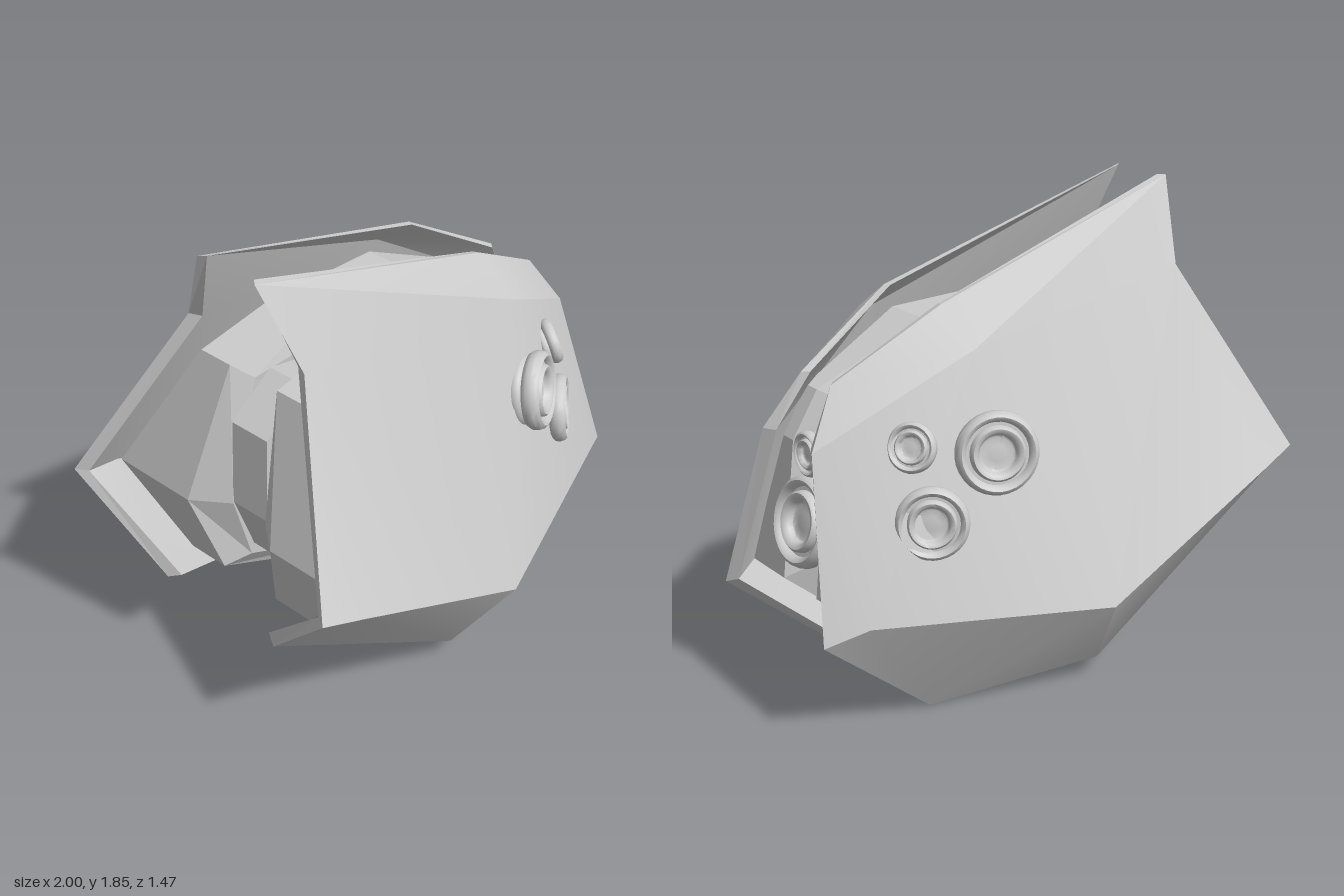
import * as THREE from 'three';
import { mergeGeometries, mergeVertices, toCreasedNormals } from 'three/addons/utils/BufferGeometryUtils.js';

const material = new THREE.MeshStandardMaterial({ color: 0xcccccc });

function addMesh(parent, name, geometry) {
  const mesh = new THREE.Mesh(geometry, material);
  mesh.name = name;
  parent.add(mesh);
  return mesh;
}

// Triangles given for the +z half; side -1 mirrors them and keeps them facing outward
function fromTriangles(triangles, side) {
  const positions = [];
  for (const [a, b, c] of triangles) {
    for (const p of side > 0 ? [a, b, c] : [a, c, b]) positions.push(p[0], p[1], p[2] * side);
  }
  const g = new THREE.BufferGeometry();
  g.setAttribute('position', new THREE.Float32BufferAttribute(positions, 3));
  g.computeVertexNormals();
  return g;
}

// Smooth within one patch
function smooth(g) {
  g.deleteAttribute('normal');
  const merged = mergeVertices(g);
  merged.computeVertexNormals();
  return merged.toNonIndexed();
}

// Corners of one armour shell
const corners = {
  A: [-0.76, 1.85, 0.14], B: [-0.69, 1.53, 0.29], C: [-1, 0.82, 0.66],
  D: [-0.83, 0.77, 0.695], E: [-0.03, 0.42, 0.735], F: [0.85, 0.47, 0.43],
  G: [1, 0.41, 0.355], H: [0.91, 1.07, 0.17], I: [0.34, 1.40, 0.37],
  J: [0.36, 1.52, 0.18], K: [0.78, 1.28, 0.10],
  L: [-0.89, 0.43, 0.29], M: [-0.14, 0.09, 0.51], N: [0.51, 0, 0.30],
};
// Smooth patches: side, top, rear underside, front underside
const patches = [
  'ABI BCD BDE BEI IEF IFH HFG', 'AIJ IHK IKJ', 'CLD DLM DME', 'EMN ENF FNG',
].map((patch) => patch.split(' '));
const rim = 'ABCLMNGHKJ';

// Thin shell: outer skin, inner skin and the rim between them
function shellGeometry(side) {
  const outer = (k) => corners[k];
  const inner = (k) => {
    const [x, y, z] = corners[k];
    return [x * 0.97, y < 0.6 ? y + 0.02 : y, z - ('AJK'.includes(k) ? 0.025 : 0.05)];
  };
  const parts = [];
  for (const patch of patches) {
    parts.push(smooth(fromTriangles(patch.map(([a, b, c]) => [outer(a), outer(b), outer(c)]), side)));
    parts.push(smooth(fromTriangles(patch.map(([a, b, c]) => [inner(a), inner(c), inner(b)]), side)));
  }
  const edge = [];
  for (let i = 0; i < rim.length; i++) {
    const p = rim[i], q = rim[(i + 1) % rim.length];
    edge.push([outer(q), outer(p), inner(p)], [outer(q), inner(p), inner(q)]);
  }
  parts.push(fromTriangles(edge, side));
  return mergeGeometries(parts);
}

// Slab filling a shell: [x, y, chamfer z, outer z], clockwise from the upper rear
const slabProfile = [
  [-0.66, 1.37, 0.12, 0.27], [-0.3, 1.4, 0.095, 0.3], [0.25, 1.39, 0.09, 0.29],
  [0.72, 1.2, 0.095, 0.17], [0.82, 1.02, 0.11, 0.19], [0.88, 0.48, 0.115, 0.34],
  [0.48, 0.14, 0.115, 0.34], [-0.1, 0.19, 0.115, 0.47], [-0.73, 0.47, 0.14, 0.32],
  [-0.82, 0.8, 0.22, 0.6],
];

// Three cross-sections with an inner cap, flat shaded
function slabGeometry(side) {
  const rings = [
    slabProfile.map(([x, y, z]) => [x * 0.87, 0.75 + (y - 0.75) * 0.87, Math.min(z - 0.025, 0.085)]),
    slabProfile.map(([x, y, z]) => [x, y, z]),
    slabProfile.map(([x, y, , z]) => [x, y, z]),
  ];
  const triangles = [];
  const n = slabProfile.length;
  for (let i = 0; i < n; i++) {
    const j = (i + 1) % n;
    triangles.push([[0, 0.77, 0.085], rings[0][i], rings[0][j]]);
    for (let k = 0; k < 2; k++) {
      const a = rings[k][i], b = rings[k][j], c = rings[k + 1][j], d = rings[k + 1][i];
      triangles.push([a, d, c], [a, c, b]);
    }
  }
  return fromTriangles(triangles, side);
}

// Central core between the slabs
const coreProfile = [
  [-0.69, 1.15], [-0.5, 1.3], [0.28, 1.16], [0.74, 0.8], [0.76, 0.53],
  [0.45, 0.25], [-0.1, 0.3], [-0.62, 0.55], [-0.71, 0.8],
];
const coreShape = new THREE.Shape(coreProfile.map(([x, y]) => new THREE.Vector2(x, y)));

// Ringed nozzle on a barrel, turned on its axis; all sizes relative to its radius
function addNozzle(parent, name, position, axis, radius, length) {
  const profile = [
    [0.4, -length], [0.58, -length + 0.1], [0.72, -0.7], [0.84, -0.66], [0.9, -0.56], [0.88, -0.42],
    [0.82, -0.36], [0.93, -0.32], [1, -0.2], [1, -0.06], [0.96, 0.06], [0.88, 0.12], [0.8, 0.08],
    [0.75, -0.05], [0.67, -0.05], [0.65, 0.08], [0.6, 0.13], [0.52, 0.11], [0.46, 0.02],
    [0.43, -0.08], [0.38, -0.1], [0.2, -0.08], [0, -0.07],
  ].map(([r, y]) => new THREE.Vector2(r * radius, y * radius));
  const mesh = addMesh(parent, name, toCreasedNormals(new THREE.LatheGeometry(profile, 32), 0.9));
  mesh.position.set(...position);
  mesh.quaternion.setFromUnitVectors(new THREE.Vector3(0, 1, 0), new THREE.Vector3(...axis).normalize());
}

export function createModel() {
  const group = new THREE.Group();
  group.name = 'armouredPod';

  for (const side of [1, -1]) {
    const half = new THREE.Group();
    half.name = side > 0 ? 'frontHalf' : 'backHalf';
    group.add(half);
    addMesh(half, 'shell', shellGeometry(side));
    addMesh(half, 'innerSlab', slabGeometry(side));
    // Cluster of three nozzles on the shell
    addNozzle(half, 'largeNozzle', [0.355, 1.05, side * 0.52], [0.42, 0.16, side * 0.9], 0.153, 1);
    addNozzle(half, 'mediumNozzle', [0.595, 0.815, side * 0.45], [0.56, 0.1, side * 0.82], 0.136, 1.1);
    addNozzle(half, 'smallNozzle', [0.62, 1.085, side * 0.36], [0.78, 0.3, side * 0.55], 0.092, 1.5);
  }

  const core = new THREE.ExtrudeGeometry(coreShape, { depth: 0.18, bevelEnabled: false });
  core.translate(0, 0, -0.09);
  addMesh(group, 'core', core);

  // Nozzles facing out between the shells
  addNozzle(group, 'mainNozzle', [0.865, 0.745, 0], [1, 0.26, 0], 0.173, 2);
  addNozzle(group, 'upperNozzle', [0.83, 1.0, 0], [1, 0.05, 0], 0.086, 4.7);
  return group;
}
